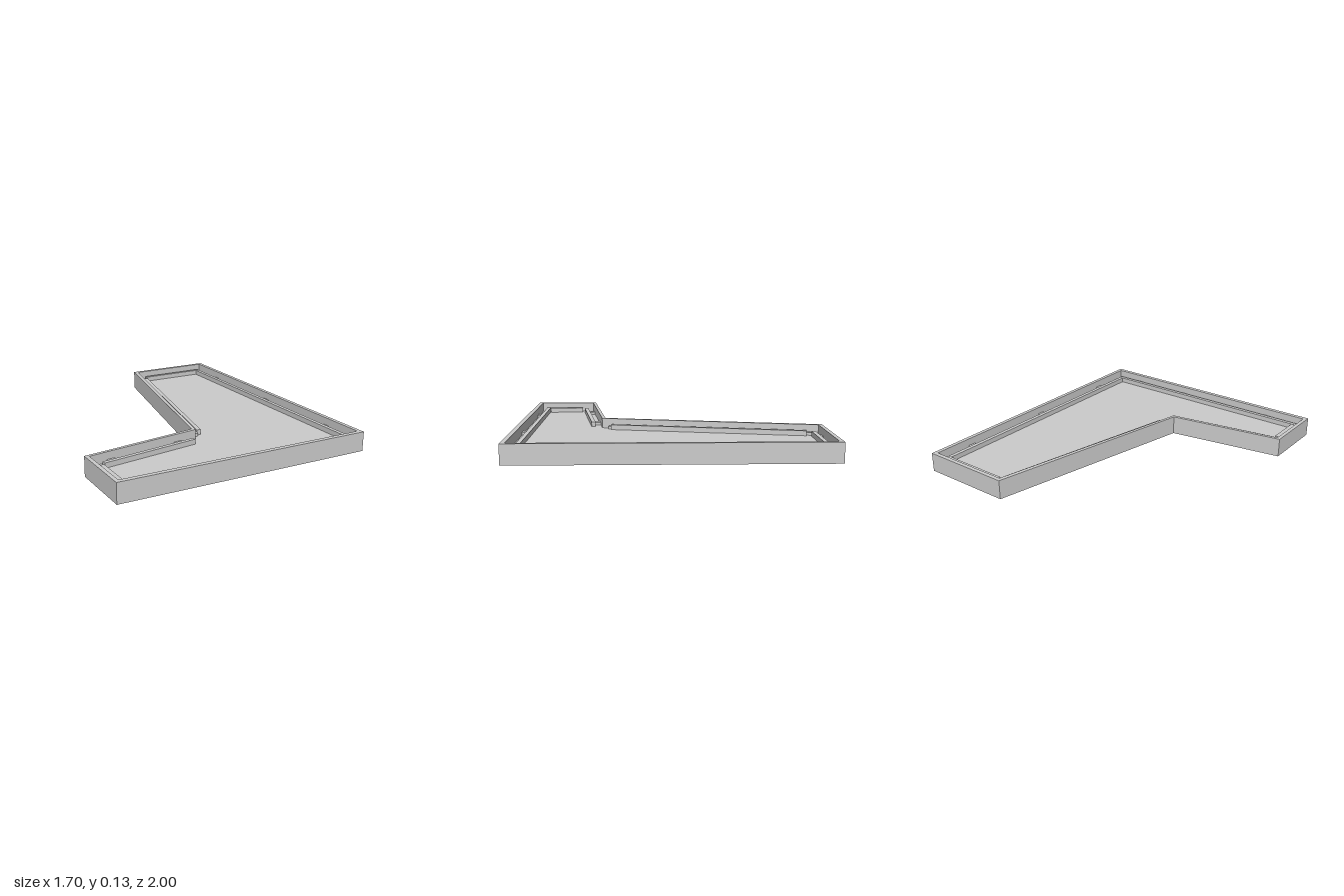
import * as THREE from 'three';

const HEIGHT = 0.128, FLOOR = 0.062, RAIL_TOP = 0.095, SPACER_TOP = 0.08;

// Plan outlines as [x, z]
const OUTER = [[0.23, -1], [0.85, -1], [0.85, 1], [-0.85, 1], [-0.85, 0.56], [-0.07, 0.44]];
const INNER = [[0.252, -0.973], [0.823, -0.973], [0.823, 0.97], [-0.825, 0.97], [-0.825, 0.578], [-0.053, 0.461]];

export function createModel() {
  const group = new THREE.Group();
  const grey = new THREE.MeshStandardMaterial({ color: 0xcccccc });
  grey.name = 'plain grey';

  const add = (name, geometry) => {
    const mesh = new THREE.Mesh(geometry, grey);
    mesh.name = name;
    group.add(mesh);
    return mesh;
  };

  // Raise a plan outline from y0 to y1; outlines run anticlockwise so walls face outwards
  const toPoints = (outline) => outline.map(([x, z]) => new THREE.Vector2(x, -z)).reverse();
  const slab = (outline, holes, y0, y1) => {
    const shape = new THREE.Shape(toPoints(outline));
    shape.holes = holes.map((hole) => new THREE.Path(toPoints(hole)));
    return new THREE.ExtrudeGeometry(shape, { depth: y1 - y0, bevelEnabled: false })
      .rotateX(-Math.PI / 2).translate(0, y0, 0);
  };

  // Tray floor and surrounding wall
  add('trayFloor', slab(OUTER, [], 0, FLOOR));
  add('trayWall', slab(OUTER, [INNER], FLOOR, HEIGHT));

  // Bar standing on the floor, running between two plan points
  const bar = (name, [ax, az], [bx, bz], width, top) => {
    const h = top - FLOOR;
    const length = Math.hypot(bx - ax, bz - az);
    const mesh = add(name, new THREE.BoxGeometry(length, h, width));
    mesh.position.set((ax + bx) / 2, FLOOR + h / 2, (az + bz) / 2);
    mesh.rotation.y = -Math.atan2(bz - az, bx - ax);
  };

  // Each side: rail centre line, spacer centres, and spacer depth from rail to wall
  const sides = [
    { name: 'front', from: [-0.795, 0.921], to: [0.786, 0.921], depth: 0.036,
      spacers: [[-0.535, 0.952], [0.188, 0.952], [0.622, 0.952]] },
    { name: 'left', from: [0.773, -0.915], to: [0.773, 0.907], depth: 0.037,
      spacers: [[0.8045, -0.685], [0.8045, -0.005], [0.8045, 0.672]] },
    { name: 'back', from: [0.304, -0.931], to: [0.786, -0.931], depth: 0.029,
      spacers: [[0.378, -0.9585], [0.675, -0.9585]] },
    { name: 'longSlant', from: [0.278, -0.89], to: [0.011, 0.394], depth: 0.033,
      spacers: [[0.256, -0.916], [-0.019, 0.389]] },
    { name: 'shortSlant', from: [-0.757, 0.626], to: [-0.1, 0.524], depth: 0.044,
      spacers: [[-0.68, 0.578], [-0.193, 0.504]] },
    { name: 'right', from: [-0.782, 0.656], to: [-0.782, 0.903], depth: 0.03,
      spacers: [[-0.81, 0.777]] },
  ];

  for (const { name, from, to, depth, spacers } of sides) {
    bar(name + 'Rail', from, to, 0.027, RAIL_TOP);
    const len = Math.hypot(to[0] - from[0], to[1] - from[1]);
    const dx = (to[0] - from[0]) / len * 0.026, dz = (to[1] - from[1]) / len * 0.026;
    for (const [x, z] of spacers) {
      bar(name + 'Spacer', [x - dx, z - dz], [x + dx, z + dz], depth, SPACER_TOP);
    }
  }
  return group;
}
